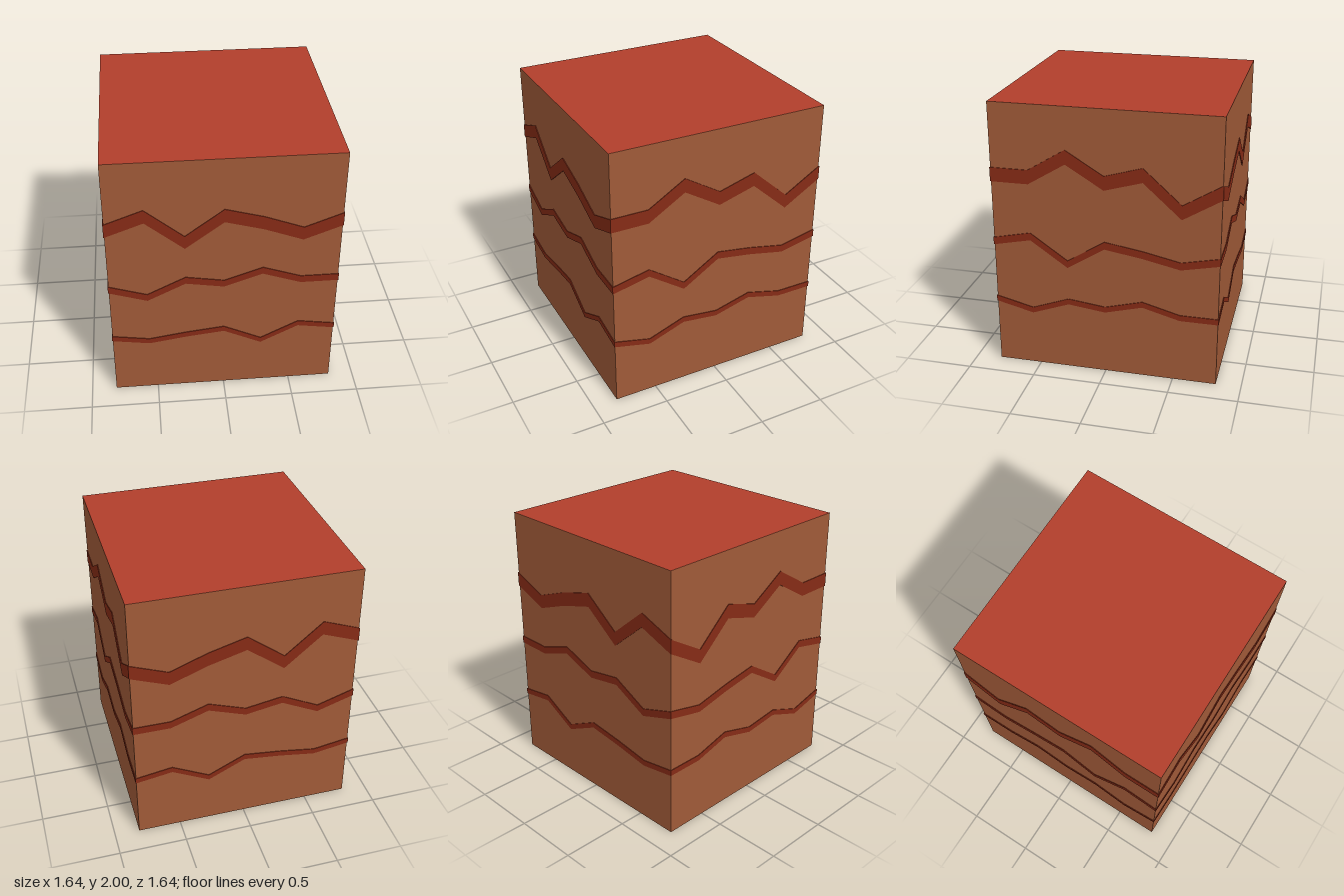
import * as THREE from 'three';

const HALF = 0.817;  // half width of the block
const OUT = 0.005;   // how far the bands stand proud of the walls

// Top-edge heights of each zigzag band: alongX runs from -x to +x, alongZ from +z to -z
const BANDS = [
  { name: 'lower', thick: 0.043,
    alongX: [0.527, 0.483, 0.527, 0.56, 0.427, 0.57, 0.527],
    alongZ: [0.527, 0.46, 0.56, 0.527, 0.6, 0.527, 0.527] },
  { name: 'middle', thick: 0.056,
    alongX: [0.995, 0.905, 1.042, 0.995, 1.092, 0.995, 0.995],
    alongZ: [0.995, 1.054, 0.865, 1.038, 0.995, 0.937, 0.995] },
  { name: 'upper', thick: 0.104,
    alongX: [1.527, 1.63, 1.398, 1.605, 1.527, 1.422, 1.527],
    alongZ: [1.527, 1.527, 1.694, 1.527, 1.607, 1.362, 1.527] },
];

// Thin zigzag strip lying in the xy plane, with its outer face at z = HALF + OUT
function bandGeometry(heights, thick, half) {
  const top = heights.map((y, i) => new THREE.Vector2(-half + (2 * half * i) / (heights.length - 1), y));
  const bottom = top.map((p) => new THREE.Vector2(p.x, p.y - thick)).reverse();
  const geometry = new THREE.ExtrudeGeometry(new THREE.Shape([...bottom, ...top]), { depth: 2 * OUT, bevelEnabled: false });
  return geometry.translate(0, 0, HALF - OUT);
}

export function createModel() {
  const model = new THREE.Group();
  model.name = 'layeredBlock';

  const wall = new THREE.MeshStandardMaterial({ color: 0xa05a38 });
  const cap = new THREE.MeshStandardMaterial({ color: 0xb23f2b });
  const bandMaterial = new THREE.MeshStandardMaterial({ color: 0x862b16 });

  // Block: brown walls, red top and bottom
  const block = new THREE.Mesh(
    new THREE.BoxGeometry(2 * HALF, 2, 2 * HALF).translate(0, 1, 0),
    [wall, wall, cap, cap, wall, wall],
  );
  block.name = 'block';
  model.add(block);

  // Bands: opposite walls carry the same line, so each far wall runs it in reverse
  for (const { name, thick, alongX, alongZ } of BANDS) {
    const walls = [
      ['Front', alongX, 0],
      ['Left', alongZ, Math.PI / 2],
      ['Back', [...alongX].reverse(), Math.PI],
      ['Right', [...alongZ].reverse(), -Math.PI / 2],
    ];
    walls.forEach(([side, heights, angle], i) => {
      const half = i % 2 ? HALF : HALF + OUT;
      const band = new THREE.Mesh(bandGeometry(heights, thick, half), bandMaterial);
      band.name = `${name}Band${side}`;
      band.rotation.y = angle;
      model.add(band);
    });
  }
  return model;
}
